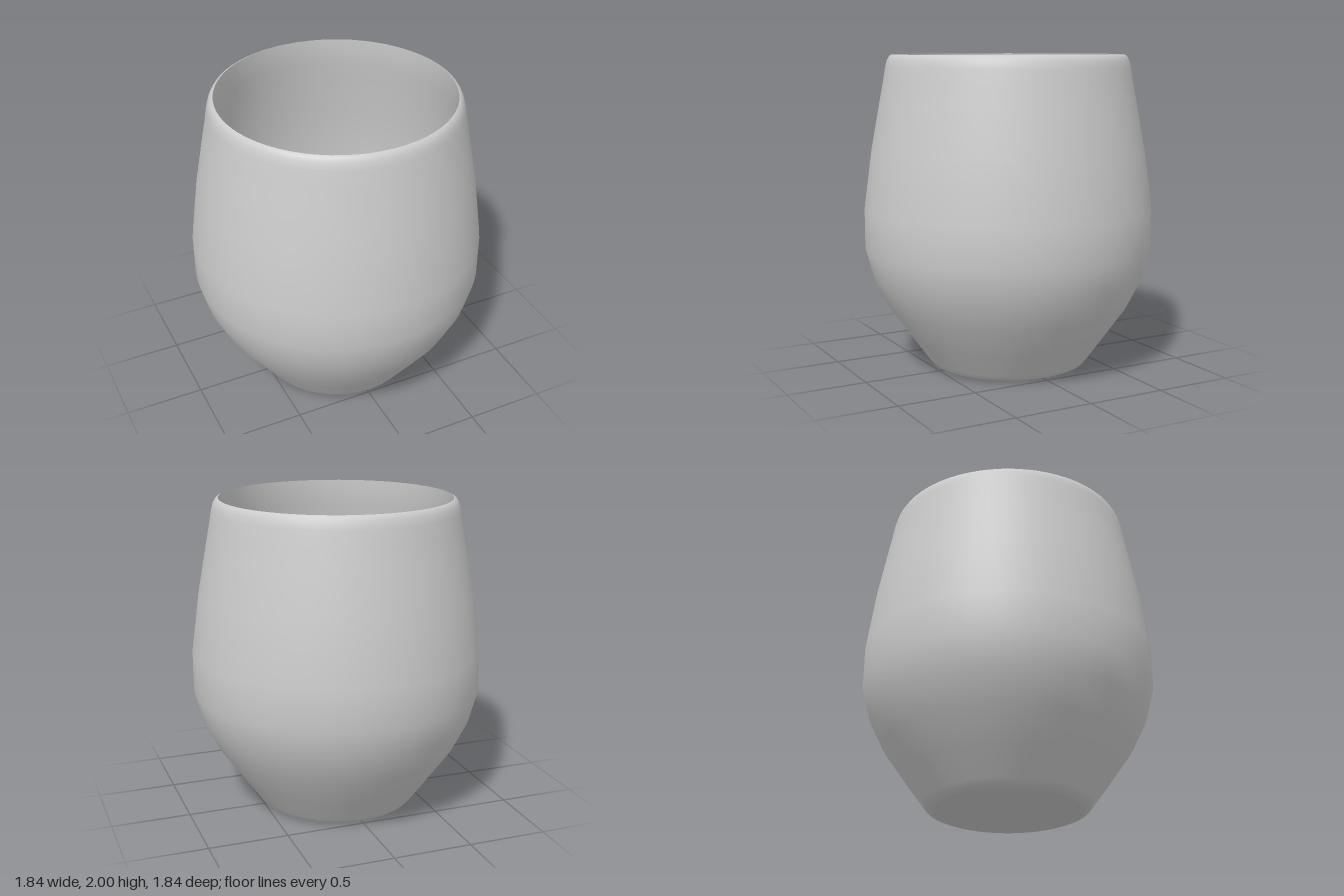
import * as THREE from 'three';

const SEGMENTS = 64;

// Revolve a list of [radius, height] pairs around the y axis
function revolve(name, profile, material) {
  const points = profile.map(([r, y]) => new THREE.Vector2(r, y));
  const mesh = new THREE.Mesh(new THREE.LatheGeometry(points, SEGMENTS), material);
  mesh.name = name;
  return mesh;
}

export function createModel() {
  const group = new THREE.Group();
  group.name = 'tumbler';
  const material = new THREE.MeshStandardMaterial({ color: 0xcccccc });

  // Flat underside
  group.add(revolve('base', [[0, 0], [0.46, 0.004]], material));

  // Outer wall: flared foot, wide belly, tapering to a rounded lip
  group.add(revolve('outerWall', [
    [0.46, 0.004], [0.5, 0.02], [0.525, 0.05], [0.64, 0.21], [0.775, 0.4],
    [0.87, 0.59], [0.92, 0.78], [0.92, 1.03], [0.87, 1.4], [0.815, 1.7],
    [0.79, 1.83], [0.775, 1.92], [0.763, 1.965], [0.747, 1.992], [0.73, 2],
  ], material));

  // Inner wall and bowl-shaped floor, from the lip down to the centre
  group.add(revolve('innerWall', [
    [0.73, 2], [0.732, 1.92], [0.745, 1.83], [0.768, 1.7], [0.822, 1.4],
    [0.87, 1.03], [0.87, 0.79], [0.825, 0.61], [0.735, 0.43], [0.6, 0.25],
    [0.49, 0.12], [0.4, 0.08], [0.15, 0.06], [0, 0.06],
  ], material));

  return group;
}
